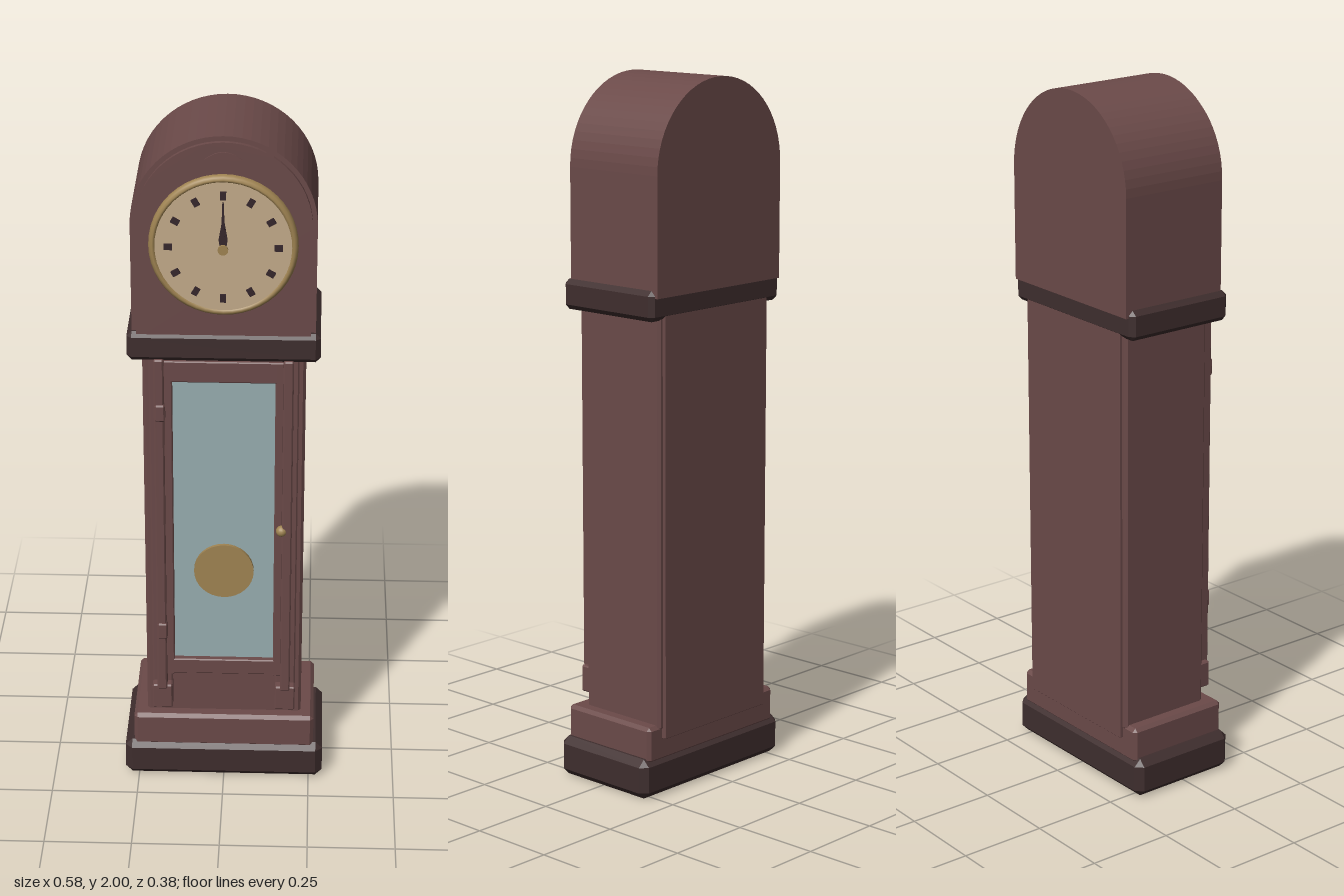
import * as THREE from 'three';
import { ConvexGeometry } from 'three/addons/geometries/ConvexGeometry.js';

const mat = (name, color) => {
  const m = new THREE.MeshStandardMaterial({ color });
  m.name = name;
  return m;
};

export function createModel() {
  const root = new THREE.Group();
  root.name = 'longcaseClock';
  const wood = mat('wood', 0x6b4a49);
  const dark = mat('darkWood', 0x3f2e2e);
  const gold = mat('brass', 0xa08452);
  const cream = mat('dialCream', 0xc4ab8a);
  const glass = mat('glass', 0x98aeb1);
  const ink = mat('ink', 0x35262b);

  const add = (name, geo, material, parent = root) => {
    const m = new THREE.Mesh(geo, material);
    m.name = name;
    parent.add(m);
    return m;
  };

  // Box given by its limits, with every edge chamfered by c
  const block = (name, material, x0, x1, y0, y1, z0, z1, c = 0.004, parent = root) => {
    const hx = (x1 - x0) / 2, hy = (y1 - y0) / 2, hz = (z1 - z0) / 2;
    const pts = [];
    for (const sx of [-1, 1]) for (const sy of [-1, 1]) for (const sz of [-1, 1]) {
      pts.push(new THREE.Vector3(sx * hx, sy * (hy - c), sz * (hz - c)));
      pts.push(new THREE.Vector3(sx * (hx - c), sy * hy, sz * (hz - c)));
      pts.push(new THREE.Vector3(sx * (hx - c), sy * (hy - c), sz * hz));
    }
    const m = add(name, new ConvexGeometry(pts), material, parent);
    m.position.set((x0 + x1) / 2, (y0 + y1) / 2, (z0 + z1) / 2);
    return m;
  };

  // Round-topped slab, extruded along z
  const arch = (name, r, y0, z0, z1) => {
    const s = new THREE.Shape();
    s.moveTo(-r, y0);
    s.lineTo(r, y0);
    s.lineTo(r, 1.75);
    s.absarc(0, 1.75, r, 0, Math.PI, false);
    s.closePath();
    const g = new THREE.ExtrudeGeometry(s, { depth: z1 - z0, bevelEnabled: false, curveSegments: 16 });
    g.translate(0, 0, z0);
    return add(name, g, wood);
  };

  // Disc or turned part whose axis runs along z
  const turned = (name, material, profile, x, y, z, parent = root, segs = 32) => {
    const g = new THREE.LatheGeometry(profile.map(p => new THREE.Vector2(...p)), segs);
    g.rotateX(Math.PI / 2);
    const m = add(name, g, material, parent);
    m.position.set(x, y, z);
    return m;
  };
  const disc = (name, material, r, h, x, y, z, parent, segs = 32) => {
    const g = new THREE.CylinderGeometry(r, r, h, segs);
    g.rotateX(Math.PI / 2);
    const m = add(name, g, material, parent);
    m.position.set(x, y, z);
    return m;
  };

  // Base, plinth, trunk and collar
  block('base', dark, -0.29, 0.29, 0, 0.115, -0.178, 0.16, 0.02);
  block('plinth', wood, -0.263, 0.263, 0.1, 0.205, -0.172, 0.148, 0.01);
  block('trunk', wood, -0.225, 0.225, 0.19, 1.37, -0.175, 0.11, 0.008);
  block('backPanel', wood, -0.21, 0.21, 0.165, 1.37, -0.184, -0.165, 0.002);
  block('collar', dark, -0.264, 0.264, 1.355, 1.44, -0.185, 0.156, 0.014);

  // Hood with its raised front and small crest
  arch('hood', 0.25, 1.42, -0.193, 0.135);
  arch('hoodFront', 0.237, 1.42, 0.13, 0.148);
  const crest = new THREE.Shape();
  crest.moveTo(-0.05, 1.94);
  crest.quadraticCurveTo(0, 1.982, 0.05, 1.94);
  crest.closePath();
  const crestGeo = new THREE.ExtrudeGeometry(crest, { depth: 0.006, bevelEnabled: false });
  crestGeo.translate(0, 0, 0.146);
  add('crest', crestGeo, wood);

  // Pilasters either side of the door
  for (const s of [-1, 1]) {
    const p = new THREE.Group();
    p.name = s > 0 ? 'leftPilaster' : 'rightPilaster';
    root.add(p);
    const b = (n, c, w, y0, y1, z1) =>
      block(n, wood, s * c - w / 2, s * c + w / 2, y0, y1, 0.1, z1, 0.004, p);
    b('pilasterBoard', 0.178, 0.058, 0.24, 1.36, 0.122);
    b('pilasterFoot', 0.178, 0.058, 0.232, 0.31, 0.15);
    b('pilasterShaft', 0.178, 0.028, 0.3, 1.36, 0.157);
  }

  // Glazed door
  const door = new THREE.Group();
  door.name = 'door';
  root.add(door);
  for (const s of [-1, 1])
    block('doorStile', wood, s * 0.154 - 0.012, s * 0.154 + 0.012, 0.34, 1.348, 0.1, 0.138, 0.003, door);
  block('topRail', wood, -0.165, 0.165, 1.285, 1.348, 0.1, 0.138, 0.003, door);
  block('bottomRail', wood, -0.165, 0.165, 0.345, 0.393, 0.1, 0.138, 0.003, door);
  block('glassPane', glass, -0.145, 0.145, 0.385, 1.29, 0.108, 0.12, 0.001, door);
  for (const y of [0.5, 1.2])
    block('hinge', wood, -0.189, -0.161, y - 0.025, y + 0.025, 0.13, 0.164, 0.004, door);
  const knob = add('doorKnob', new THREE.SphereGeometry(0.016, 16, 10), gold, door);
  knob.position.set(0.163, 0.83, 0.148);

  // Pendulum bob
  disc('pendulumBob', gold, 0.085, 0.014, 0, 0.685, 0.123);

  // Dial with brass bezel
  const dial = new THREE.Group();
  dial.name = 'dial';
  dial.position.set(0, 1.7, 0);
  root.add(dial);
  turned('bezel', gold, [[0.2, 0], [0.2, 0.01], [0.196, 0.017], [0.19, 0.021], [0.184, 0.019], [0.181, 0.012], [0.181, 0]],
    0, 0, 0.148, dial, 48);
  disc('dialFace', cream, 0.183, 0.02, 0, 0, 0.156, dial, 48);

  // Hour marks
  for (let i = 0; i < 12; i++) {
    const a = i * Math.PI / 6;
    const m = add('hourMark', new THREE.BoxGeometry(0.016, 0.022, 0.008), ink, dial);
    m.position.set(0.147 * Math.sin(a), 0.147 * Math.cos(a), 0.169);
    m.rotation.z = -a;
  }

  // Hands at twelve, tapering to their tips
  const hand = (name, w, len, z) => {
    const s = new THREE.Shape([[-w * 0.5, -0.015], [w * 0.5, -0.015], [w, len * 0.35], [w * 0.35, len], [-w * 0.35, len], [-w, len * 0.35]]
      .map(p => new THREE.Vector2(...p)));
    const g = new THREE.ExtrudeGeometry(s, { depth: 0.004, bevelEnabled: false });
    g.translate(0, 0, z);
    add(name, g, ink, dial);
  };
  hand('hourHand', 0.012, 0.07, 0.172);
  hand('minuteHand', 0.005, 0.133, 0.178);
  disc('handSpindle', gold, 0.006, 0.03, 0, 0, 0.172, dial, 12);
  disc('handCap', gold, 0.014, 0.007, 0, 0, 0.187, dial, 16);

  return root;
}
